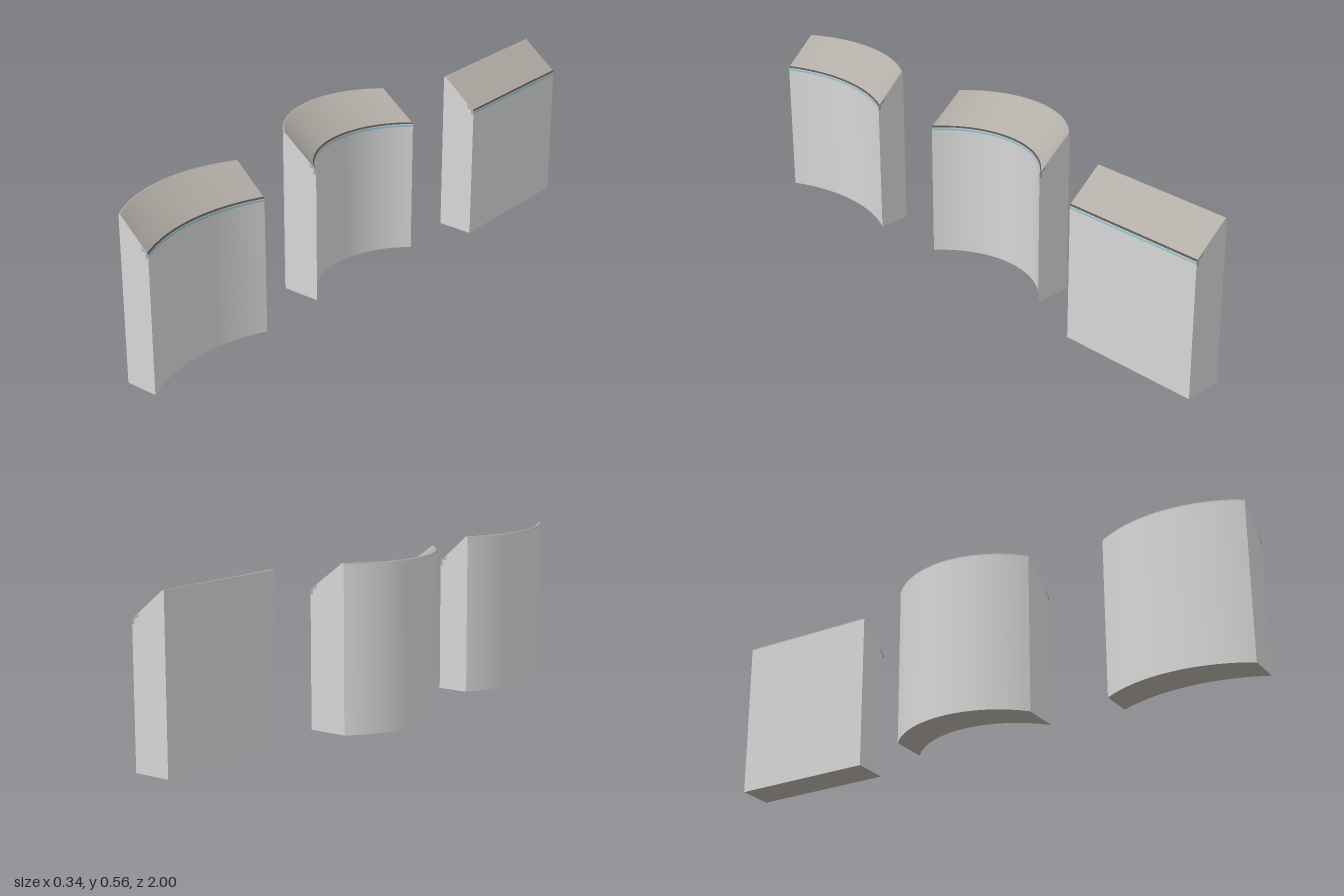
import * as THREE from 'three';

const mat = (name, color) => Object.assign(new THREE.MeshStandardMaterial({ color }), { name });

const PEAK = 0.563, LIP = 0.467;

// x of a shallow circular arc: apex at s = 0, ends at s = +-1
function arcX(apex, end, half, s) {
  const sag = end - apex;
  if (sag < 1e-4) return apex;
  const r = (half * half + sag * sag) / (2 * sag);
  return apex + r - Math.sqrt(r * r - s * s * half * half);
}

// Cross-section through the block, up the outer wall, over the slope, down the inner wall
function section(xo, xi) {
  return [
    [xo, 0], [xo, PEAK - 0.006], [xo + 0.002, PEAK - 0.001], [xo + 0.006, PEAK - 0.001],
    [xi - 0.004, LIP + 0.002], [xi, LIP - 0.003],
    [xi, 0.460], [xi, 0.454], [xi, 0], [xo, 0],
  ];
}

// Surface swept along z between profile points a..b
function strip(sections, a, b) {
  const pos = [], idx = [], n = b - a + 1;
  for (const { z, pts } of sections)
    for (let j = a; j <= b; j++) pos.push(pts[j][0], pts[j][1], z);
  for (let i = 0; i < sections.length - 1; i++)
    for (let j = 0; j < n - 1; j++) {
      const p = i * n + j, q = p + n;
      idx.push(p, q, p + 1, q, q + 1, p + 1);
    }
  const g = new THREE.BufferGeometry();
  g.setAttribute('position', new THREE.Float32BufferAttribute(pos, 3));
  g.setIndex(idx);
  g.computeVertexNormals();
  return g;
}

// Flat polygon at depth z, facing +z or -z
function plate(pts, z, back) {
  const g = new THREE.ShapeGeometry(new THREE.Shape(pts.map(p => new THREE.Vector2(...p))));
  if (back) {
    g.setIndex(Array.from(g.index.array).reverse());
    g.computeVertexNormals();
  }
  return g.translate(0, 0, z);
}

export function createModel() {
  const wall = mat('pale grey wall', 0xd6d6d6);
  const warm = mat('warm grey stone', 0xb3aea7);
  const dark = mat('dark edge', 0x5a5550);
  const blue = mat('pale blue line', 0x8fc6da);
  const chip = mat('worn grey', 0xaaaaa8);

  const model = new THREE.Group();
  model.name = 'copingBlocks';

  function block(name, zc, half, outer, inner, steps) {
    const group = new THREE.Group();
    group.name = name;
    const add = (part, geo, m) => {
      const mesh = new THREE.Mesh(geo, m);
      mesh.name = part;
      group.add(mesh);
    };
    const sections = [];
    for (let i = 0; i <= steps; i++) {
      const s = -1 + 2 * i / steps;
      sections.push({
        z: zc + s * half,
        pts: section(arcX(...outer, half, s), arcX(...inner, half, s)),
      });
    }
    add('outerWall', strip(sections, 0, 1), wall);
    add('roundedEdge', strip(sections, 1, 3), warm);
    add('slopedTop', strip(sections, 3, 4), warm);
    add('darkLip', strip(sections, 4, 5), dark);
    add('upperInnerWall', strip(sections, 5, 6), wall);
    add('blueLine', strip(sections, 6, 7), blue);
    add('innerWall', strip(sections, 7, 8), wall);
    add('underside', strip(sections, 8, 9), warm);

    // End faces, each with a small worn patch at the low corner
    const xi = inner[1];
    const worn = [[xi - 0.03, 0.485], [xi - 0.022, 0.47], [xi - 0.01, 0.47], [xi - 0.01, 0.45],
      [xi, 0.45], [xi, LIP - 0.003], [xi - 0.004, LIP + 0.002]];
    for (const [end, back] of [[sections[steps], false], [sections[0], true]]) {
      const label = back ? 'back' : 'front';
      add(label + 'End', plate(end.pts.slice(0, 9), end.z, back), wall);
      add(label + 'WornPatch', plate(worn, end.z + (back ? -0.001 : 0.001), back), chip);
    }
    model.add(group);
  }

  // name, centre z, half length, outer [apex, end], inner [apex, end], segments
  block('gentleCurveBlock', 0.749, 0.251, [-0.097, -0.024], [0.03, 0.09], 32);
  block('tightCurveBlock', -0.018, 0.255, [-0.173, -0.056], [-0.045, 0.078], 40);
  block('straightBlock', -0.748, 0.252, [0.043, 0.043], [0.171, 0.171], 1);

  return model;
}
